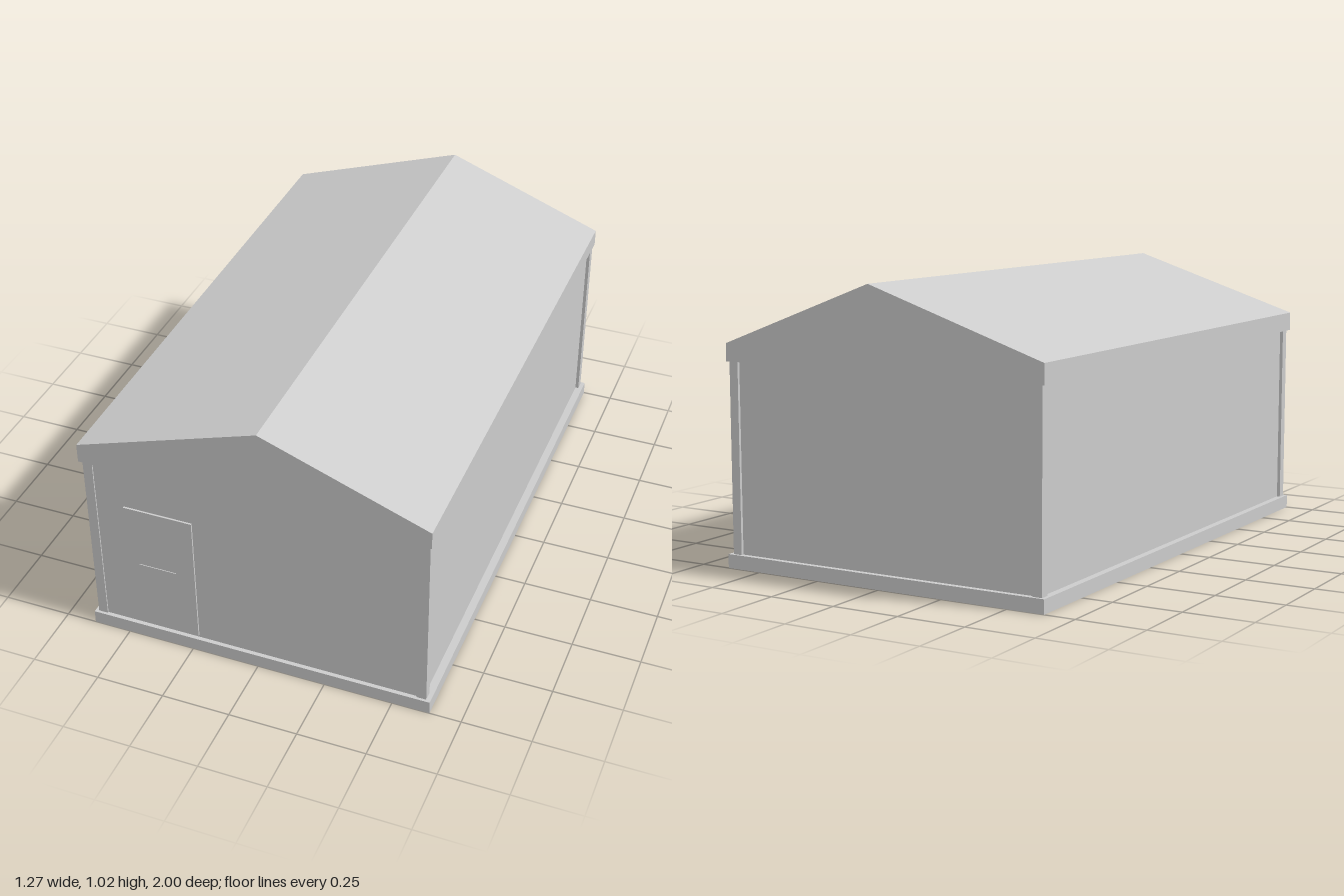
import * as THREE from 'three';

export function createModel() {
  const model = new THREE.Group();
  const material = new THREE.MeshStandardMaterial({
    color: 0xcccccc, flatShading: true, side: THREE.DoubleSide,
  });

  const add = (name, geometry) => {
    const mesh = new THREE.Mesh(geometry, material);
    mesh.name = name;
    model.add(mesh);
    return mesh;
  };
  // Box given by its lower and upper limits on each axis
  const box = (name, [x0, x1], [y0, y1], [z0, z1]) => {
    const mesh = add(name, new THREE.BoxGeometry(x1 - x0, y1 - y0, z1 - z0));
    mesh.position.set((x0 + x1) / 2, (y0 + y1) / 2, (z0 + z1) / 2);
  };

  const baseX = [-0.638, 0.636];
  const wallX = [-0.625, 0.62];
  const wallZ = [-0.99, 0.99];
  const baseTop = 0.05, eave = 0.73, post = 0.035;

  // Hollow foundation: a floor slab with a thin skirt below it
  const skirt = 0.006;
  box('floorSlab', baseX, [0.044, baseTop], [-1, 1]);
  box('rightSkirt', [baseX[0], baseX[0] + skirt], [0, 0.044], [-1, 1]);
  box('leftSkirt', [baseX[1] - skirt, baseX[1]], [0, 0.044], [-1, 1]);
  const between = [baseX[0] + skirt, baseX[1] - skirt];
  box('frontSkirt', between, [0, 0.044], [1 - skirt, 1]);
  box('backSkirt', between, [0, 0.044], [-1, -1 + skirt]);

  // Corner posts
  for (const x of [[wallX[0], wallX[0] + post], [wallX[1] - post, wallX[1]]]) {
    for (const z of [[wallZ[0], wallZ[0] + post], [wallZ[1] - post, wallZ[1]]]) {
      box('cornerPost', x, [baseTop, eave], z);
    }
  }

  // Wall panels, set back slightly between the posts
  const t = 0.015;
  const innerX = [wallX[0] + post, wallX[1] - post];
  const innerZ = [wallZ[0] + post, wallZ[1] - post];
  const sideInset = 0.012, backInset = 0.01, frontInset = 0.005;
  const y = [baseTop, eave];
  box('rightWall', [wallX[0] + sideInset, wallX[0] + sideInset + t], y, innerZ);
  box('leftWall', [wallX[1] - sideInset - t, wallX[1] - sideInset], y, innerZ);
  box('backWall', innerX, y, [wallZ[0] + backInset, wallZ[0] + backInset + t]);
  box('frontWall', innerX, y, [wallZ[1] - frontInset - t, wallZ[1] - frontInset]);

  // Door with a thin crossbar
  box('door', [-0.485, -0.23], [0.06, 0.57], [0.975, 0.992]);
  box('doorBar', [-0.44, -0.3], [0.329, 0.331], [0.991, 0.995]);

  // Gabled roof, its ridge a little off centre
  const gable = new THREE.Shape([
    [-0.638, eave], [0.626, eave], [0.626, 0.793], [0.027, 1.02], [-0.638, 0.8],
  ].map(([px, py]) => new THREE.Vector2(px, py)));
  const roof = add('roof', new THREE.ExtrudeGeometry(gable, { depth: 1.996, bevelEnabled: false }));
  roof.position.z = -1;

  return model;
}
